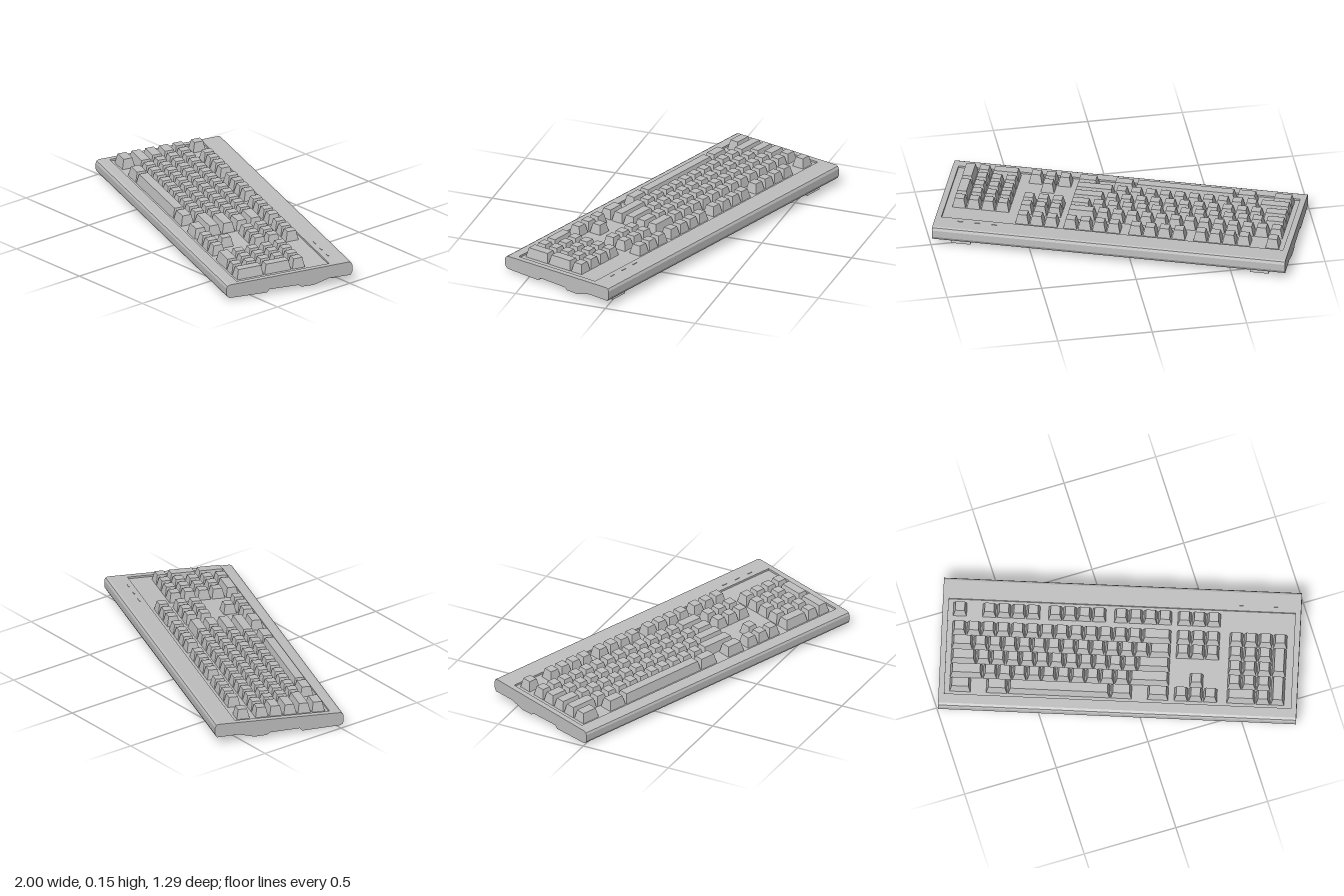
import * as THREE from 'three';

const casing = new THREE.MeshStandardMaterial({ color: 0xbfbfbf });
casing.name = 'light grey plastic';

const PITCH = 0.0765, ROW = 0.0775;
const SLOPE = 0.0463, TOP_MID = 0.1025, RECESS = 0.01;
const topY = (w) => TOP_MID - SLOPE * w;

// Side profile (depth, height) extruded across the width from x1 to x2
function slab(name, profile, x1, x2) {
  const shape = new THREE.Shape(profile.map(([w, y]) => new THREE.Vector2(-w, y)));
  const geo = new THREE.ExtrudeGeometry(shape, { depth: x2 - x1, bevelEnabled: false });
  geo.rotateY(Math.PI / 2).translate(x1, 0, 0);
  const mesh = new THREE.Mesh(geo, casing);
  mesh.name = name;
  return mesh;
}

function box(name, sx, sy, sz, x, y, z) {
  const mesh = new THREE.Mesh(new THREE.BoxGeometry(sx, sy, sz), casing);
  mesh.name = name;
  mesh.position.set(x, y, z);
  return mesh;
}

// Tapered keycap: the front face slopes more than the back
function keycap(name, x, z, wide = 1, deep = 1) {
  const w = wide * PITCH - 0.006, d = deep * ROW - 0.007, h = 0.052;
  const geo = new THREE.BoxGeometry(w, h, d).translate(0, h / 2, 0);
  const p = geo.attributes.position;
  for (let i = 0; i < p.count; i++) {
    if (p.getY(i) < h / 2) continue;
    p.setX(i, p.getX(i) - Math.sign(p.getX(i)) * 0.011);
    p.setZ(i, p.getZ(i) + (p.getZ(i) > 0 ? -0.014 : 0.008));
  }
  geo.computeVertexNormals();
  const mesh = new THREE.Mesh(geo, casing);
  mesh.name = name;
  mesh.position.set(x, 0, z);
  return mesh;
}

export function createModel() {
  const model = new THREE.Group();
  model.name = 'keyboard';
  const body = new THREE.Group();
  body.name = 'body';
  body.rotation.y = -THREE.MathUtils.degToRad(19.6);
  model.add(body);

  // Case: full profile at both ends, recessed key well between them
  const lower = [
    [-0.335, topY(-0.335)], [-0.346, 0.114], [-0.3525, 0.1], [-0.3525, 0.062], [-0.343, 0.044],
    [-0.22, 0.043], [-0.137, 0.018], [-0.07, 0.018], [-0.05, 0.03], [0.112, 0.03], [0.126, 0.014],
    [0.335, 0.014], [0.347, 0.022], [0.3525, 0.035], [0.3525, 0.068], [0.347, 0.08], [0.335, topY(0.335)],
  ];
  const wellFront = 0.285, wellBack = -0.235;
  const well = [
    [wellFront, topY(wellFront)], [wellFront, topY(wellFront) - RECESS],
    [wellBack, topY(wellBack) - RECESS], [wellBack, topY(wellBack)],
  ];
  body.add(slab('caseMiddle', [...lower, ...well], -0.905, 0.905));
  body.add(slab('caseEndLeft', lower, 0.905, 0.935));
  body.add(slab('caseEndRight', lower, -0.935, -0.905));

  // Indicator ridges behind the number pad
  for (const x of [0.62, 0.71, 0.8]) {
    const ridge = box('indicatorRidge', 0.03, 0.004, 0.005, x, topY(-0.265) + 0.001, -0.265);
    ridge.rotation.x = Math.atan(SLOPE);
    body.add(ridge);
  }

  // Feet: low pads in front, folding legs with a strut at the back
  for (const x of [-0.79, 0.79]) {
    body.add(box('frontFoot', 0.06, 0.016, 0.025, x, 0.008, 0.285));
    body.add(slab('backLeg', [[-0.27, 0.046], [-0.29, 0.046], [-0.3, 0], [-0.275, 0]], x - 0.05, x + 0.05));
    body.add(slab('backLegStrut', [[-0.195, 0.046], [-0.28, 0.046], [-0.283, 0.03], [-0.195, 0.03]], x - 0.04, x + 0.04));
  }

  // Keys sit on the sloping floor of the well
  const keys = new THREE.Group();
  keys.name = 'keys';
  keys.position.y = TOP_MID - RECESS;
  keys.rotation.x = Math.atan(SLOPE);
  body.add(keys);

  const MAIN = -0.8815, NAV = 0.291, PAD = 0.566;
  const TOP_ROW_Z = -0.18;
  const rowZ = (r) => (r - 1) * ROW;

  // Lays out a row of key widths; negative widths are gaps
  function keyRow(name, x0, z, widths) {
    let at = 0;
    for (const w of widths) {
      if (w > 0) keys.add(keycap(name, x0 + (at + w / 2) * PITCH, z, w));
      at += Math.abs(w);
    }
  }
  const ones = (n) => Array(n).fill(1);

  // Separate row along the back
  keyRow('topRowKey', MAIN, TOP_ROW_Z,
    [1, -1, ...ones(4), -0.5, ...ones(4), -0.5, ...ones(4)]);
  keyRow('topRowKey', NAV, TOP_ROW_Z, ones(3));

  // Main block
  [
    [...ones(13), 2],
    [1.5, ...ones(12), 1.5],
    [1.75, ...ones(11), 2.25],
    [2.25, ...ones(10), 2.75],
    [1.5, -1, 1.5, 7, 1.5, -1, 1.5],
  ].forEach((widths, r) => keyRow('mainKey', MAIN, rowZ(r), widths));

  // Navigation and arrow keys
  for (const r of [0, 1]) keyRow('navigationKey', NAV, rowZ(r), ones(3));
  keyRow('arrowKey', NAV, rowZ(3), [-1, 1]);
  keyRow('arrowKey', NAV, rowZ(4), ones(3));

  // Number pad, with two double-height keys on its last column
  [ones(4), ones(3), ones(3), ones(3), [2, 1]]
    .forEach((widths, r) => keyRow('numberPadKey', PAD, rowZ(r), widths));
  for (const r of [1.5, 3.5]) {
    keys.add(keycap('tallNumberPadKey', PAD + 3.5 * PITCH, rowZ(r), 1, 2));
  }

  return model;
}
